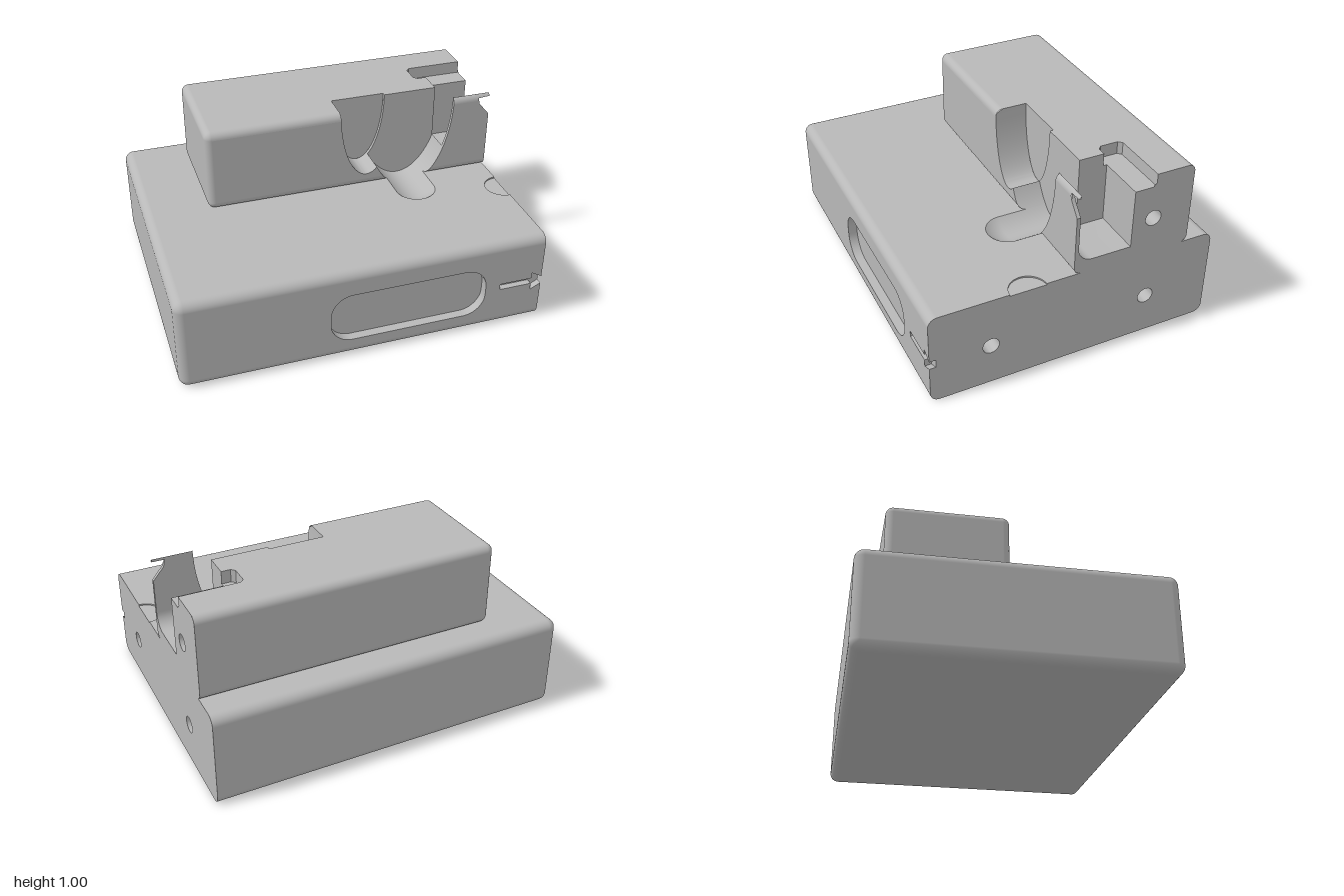
import * as THREE from 'three';
import { toCreasedNormals } from 'three/addons/utils/BufferGeometryUtils.js';

const { PI, cos, sin, sqrt } = Math;
const HALF = PI / 2;

export function createModel() {
  const model = new THREE.Group();
  const grey = new THREE.MeshStandardMaterial({ color: 0xb8b8b8, side: THREE.DoubleSide });
  grey.name = 'plainGrey';

  function add(name, geo, parent = model) {
    const mesh = new THREE.Mesh(geo, grey);
    mesh.name = name;
    parent.add(mesh);
    return mesh;
  }
  // Named group holding a face's local frame (local +z points outwards)
  function frame(name, x, y, z, rx = 0, ry = 0) {
    const g = new THREE.Group();
    g.name = name;
    g.position.set(x, y, z);
    g.rotation.set(rx, ry, 0);
    model.add(g);
    return g;
  }
  // Grid surface from a rule f(u, v) -> [x, y, z]
  function surf(nu, nv, f) {
    const pos = [], idx = [];
    for (let i = 0; i <= nu; i++) for (let j = 0; j <= nv; j++) {
      pos.push(...f(i / nu, j / nv));
      if (i < nu && j < nv) {
        const a = i * (nv + 1) + j, b = a + nv + 1;
        idx.push(a, b, b + 1, a, b + 1, a + 1);
      }
    }
    const g = new THREE.BufferGeometry();
    g.setAttribute('position', new THREE.Float32BufferAttribute(pos, 3));
    g.setIndex(idx);
    g.computeVertexNormals();
    return g;
  }
  // Wall along a 2D path, from depth z0 to z1 (either may depend on height)
  function ribbon(pts, z0, z1) {
    const n = pts.length - 1;
    const at = (z, y) => (typeof z === 'function' ? z(y) : z);
    return toCreasedNormals(surf(n, 1, (u, v) => {
      const [x, y] = pts[Math.round(u * n)];
      return [x, y, v ? at(z1, y) : at(z0, y)];
    }), 0.6);
  }
  function flat(pts, holes = [], z = 0) {
    const s = new THREE.Shape(pts.map(p => new THREE.Vector2(...p)));
    s.holes = holes.map(h => new THREE.Path(h.map(p => new THREE.Vector2(...p))));
    return new THREE.ShapeGeometry(s).translate(0, 0, z);
  }
  function recess(name, pts, depth, parent, closed = true) {
    add(name + 'Wall', ribbon(closed ? [...pts, pts[0]] : pts, 0, -depth), parent);
    add(name + 'Floor', flat(pts, [], -depth), parent);
  }
  function arc(cx, cy, rx, ry, a0, a1, n = 10) {
    return Array.from({ length: n + 1 }, (_, i) => {
      const a = a0 + (a1 - a0) * i / n;
      return [cx + rx * cos(a), cy + ry * sin(a)];
    });
  }
  const circle = (x, y, r) => arc(x, y, r, r, 0, 2 * PI, 32).slice(0, -1);
  const roundRect = (x0, y0, x1, y1, r) => [
    ...arc(x1 - r, y0 + r, r, r, -HALF, 0), ...arc(x1 - r, y1 - r, r, r, 0, HALF),
    ...arc(x0 + r, y1 - r, r, r, HALF, PI), ...arc(x0 + r, y0 + r, r, r, PI, 1.5 * PI)];

  // Rounded body, open at x = 1; skip(corner, isFlat) leaves out lengthwise strips
  function shell(x0, y0, y1, z0, z1, r, skip) {
    const n = 8, ring = 4 * (n + 1), pos = [], nor = [], idx = [];
    for (let i = 0; i <= n + 1; i++) {
      const b = i > n ? 0 : HALF * (1 - i / n);
      for (let j = 0; j < ring; j++) {
        const k = Math.floor(j / (n + 1)), a = HALF * (k + (j % (n + 1)) / n);
        const d = [-sin(b), cos(b) * sin(a), cos(b) * cos(a)];
        pos.push(i > n ? 1 : x0 + r + r * d[0], (k < 2 ? y1 - r : y0 + r) + r * d[1],
          (k % 3 ? z0 + r : z1 - r) + r * d[2]);
        nor.push(...d);
        if (i > n || (i === n && skip(k, j % (n + 1) === n))) continue;
        const j2 = (j + 1) % ring, p = i * ring, q = p + ring;
        idx.push(p + j, q + j, q + j2, p + j, q + j2, p + j2);
      }
    }
    const g = new THREE.BufferGeometry();
    g.setAttribute('position', new THREE.Float32BufferAttribute(pos, 3));
    g.setAttribute('normal', new THREE.Float32BufferAttribute(nor, 3));
    g.setIndex(idx);
    return g;
  }
  const endCap = (x, y0, y1, z0, z1) =>
    surf(1, 1, (u, v) => [x, y0 + (y1 - y0) * v, z0 + (z1 - z0) * u]);

  // ---- Base ----
  add('baseShell', shell(-1, 0, 0.53, -0.8, 0.8, 0.05, (k, f) => f && (k === 0 || k === 3)));
  add('baseLeftEnd', endCap(-1, 0.05, 0.48, -0.75, 0.75));

  const baseFront = frame('baseFront', 0, 0, 0.8);
  const arrow = [[1, 0.22], [0.94, 0.19], [0.94, 0.23], [0.755, 0.23],
    [0.755, 0.265], [0.94, 0.265], [0.94, 0.3], [1, 0.265]];
  const label = roundRect(-0.2, 0.1, 0.67, 0.39, 0.12);
  add('baseFrontFace', flat([[-0.95, 0.05], [1, 0.05], ...arrow, [1, 0.48], [-0.95, 0.48]], [label]), baseFront);
  recess('frontPocket', label, 0.05, baseFront);
  recess('arrow', arrow, 0.035, baseFront, false);

  const baseTop = frame('baseTop', 0, 0.53, 0, -HALF);
  const disc = arc(1, -0.27, 0.1, 0.1, 1.5 * PI, HALF, 24);
  const gw = 0.1134, gz = 0.147;
  const groove = [[0.515 + gw, 0.14], [0.515 - gw, 0.14], ...arc(0.515, -gz, gw, gw, PI, 2 * PI, 24)];
  add('baseTopFace', flat([[-0.95, -0.75], [1, -0.75], ...disc, [1, 0.75], [-0.95, 0.75]], [groove]), baseTop);
  recess('roundMark', disc, 0.008, baseTop, false);

  const boltHole = (parent, u, v) => {
    const c = circle(u, v, 0.045);
    recess('boltHole', c, 0.2, parent);
    return c;
  };
  const baseRight = frame('baseRight', 1, 0, 0, 0, HALF);
  const r = 0.05;
  add('baseRightFace', flat([
    ...arc(-0.75, r, r, r, PI, 1.5 * PI), ...arc(0.75, r, r, r, -HALF, 0), ...arc(0.75, 0.48, r, r, 0, HALF),
    [-0.17, 0.53], [-0.17, 0.522], [-0.37, 0.522], [-0.37, 0.53],
    ...arc(-0.75, 0.48, r, r, HALF, PI), [-0.8, 0.265], [-0.765, 0.265], [-0.765, 0.22], [-0.8, 0.22],
  ], [boltHole(baseRight, 0.42, 0.24), boltHole(baseRight, -0.47, 0.24)]), baseRight);

  // ---- Upper block ----
  const R = 0.04;
  const frontZ = y => {
    const d = Math.max(y - 0.96, 0.57 - y, 0);
    return -0.02 + sqrt(Math.max(0, R * R - d * d));
  };
  // Two scooped notches, as half ellipses hanging from the top
  const small = (a, b, n = 24) => arc(0.265, 1, 0.155, -0.4, a, b, n);
  const large = (a, b, n = 24) => arc(0.515, 1, 0.265, -0.52, a, b, n);
  const drop = y => sqrt(Math.max(0, 1 - y * y));
  const smallLeft = y => 0.265 - 0.155 * drop((1 - y) / 0.4);
  const largeSide = (y, s) => 0.515 + s * 0.265 * drop((1 - y) / 0.52);
  const S = 1.159, L = 2.359, FLOOR = 1.1285, WALL = 0.6246;

  add('blockShell', shell(-0.65, 0.53, 1, -0.64, 0.02, R, (k, f) => (f ? k !== 1 : k === 0 || k === 3)));
  add('blockLeftEnd', endCap(-0.65, 0.57, 0.96, -0.6, -0.02));
  add('blockFrontLeft', flat([[-0.61, 0.57], ...large(2.168, L, 8), ...small(S, PI - 0.1002), [-0.61, 0.96]], [], 0.02));
  add('blockFrontRight', flat([[1, 0.57], [1, 0.87], [0.94, 0.94], [0.935, 0.96], ...large(0.077, 0.974)], [], 0.02));

  // Rounded front edges, trimmed where the notches cut them
  const edge = (name, cy, a0, a1, xa, xb) => add(name, surf(8, 1, (u, v) => {
    const a = a0 + (a1 - a0) * u, y = cy + R * sin(a);
    return [v ? xb(y) : xa(y), y, -0.02 + R * cos(a)];
  }));
  edge('topEdgeLeft', 0.96, 0, HALF, () => -0.61, smallLeft);
  edge('topEdgeRight', 0.96, 0, PI / 3, y => largeSide(y, 1), y => (y < 0.98 ? 0.932 : 1));
  edge('bottomEdgeLeft', 0.57, -HALF, 0, () => -0.61, y => largeSide(y, -1));
  edge('bottomEdgeRight', 0.57, -HALF, 0, y => largeSide(y, 1), () => 1);

  const blockTop = frame('blockTop', 0, 1, 0, -HALF);
  add('blockTopFace', flat([[-0.61, 0.02], [0.11, 0.02], [0.11, 0.16], [0.42, 0.16], [0.42, 0.14],
    [0.73, 0.14], [0.73, 0.28], [0.68, 0.28], [0.66, 0.3], [0.66, 0.4], [0.68, 0.42],
    [1, 0.42], [1, 0.6], [-0.61, 0.6]]), blockTop);

  // Notch surfaces and back walls
  add('smallNotch', ribbon(small(PI, S, 40), -0.16, frontZ));
  add('smallNotchStep', ribbon(small(S, 0), -0.16, -0.14));
  add('smallNotchBack', flat(small(PI, 0, 40), [], -0.16));
  add('largeNotchLeft', ribbon(large(L, PI - FLOOR, 12), -0.14, frontZ));
  add('largeNotchRight', ribbon(large(FLOOR, WALL, 16), -0.14, frontZ));
  add('largeNotchLip', ribbon(large(WALL, 0, 16), 0, y => Math.max(0, frontZ(y))));
  add('largeNotchBack', flat([...small(0, S), ...large(L, WALL, 40), [0.73, 1]], [], -0.14));
  // Shallow trough running out of the large notch into the base
  add('trough', ribbon(large(PI - FLOOR, FLOOR), -0.14, gz));
  add('troughEnd', surf(10, 24, (u, v) => {
    const p = gw * u;
    return [0.515 + p * cos(PI * v), 1 - 0.52 * drop(p / 0.265), gz + p * sin(PI * v)];
  }));

  // Side pocket, with a thin front wall that has a clipped arrow cut
  const blockRight = frame('blockRight', 1, 0, 0, 0, HALF);
  const bend = arc(0.08, 0.68, 0.08, 0.08, PI, 1.5 * PI);
  const pocket = [...bend, [0.3, 0.6], [0.3, 0.93]];
  add('blockRightFace', flat([
    [-0.02, 0.87], [0, 0.87], ...pocket, [0.4, 0.93], [0.42, 0.95], [0.42, 1],
    ...arc(0.6, 0.96, R, R, HALF, 0), ...arc(0.6, 0.57, R, R, 0, -HALF), ...arc(0.02, 0.57, R, R, -HALF, -PI),
  ], [boltHole(blockRight, 0.42, 0.74)]), blockRight);
  add('pocketLining', ribbon(pocket, 0, -0.27), blockRight);
  add('pocketLeftWall', flat([[0, 0.696], ...pocket, [0.28, 0.93], [0.28, 1], [0.14, 1], [0.14, 0.696]], [], -0.27), blockRight);
  const cut = [[1, 0.87], [0.94, 0.94], [0.93, 0.98], [1, 0.98]];
  add('pocketFrontWall', flat([[0.73, 0.68], [1, 0.68], ...cut, [1, 0.995], ...large(0.01, WALL)], [], 0));
  add('arrowCutEdge', ribbon(cut, 0, frontZ));

  // Slot along the top
  add('slotFloor', flat([[0.66, 0.3], [0.68, 0.28], [0.73, 0.28], [0.73, 0.3], [1, 0.3],
    [1, 0.42], [0.68, 0.42], [0.66, 0.4]], [], -0.07), blockTop);
  add('slotWall', ribbon([[0.73, 0.28], [0.68, 0.28], [0.66, 0.3], [0.66, 0.4], [0.68, 0.42], [1, 0.42]], 0, -0.07), blockTop);

  return model;
}
